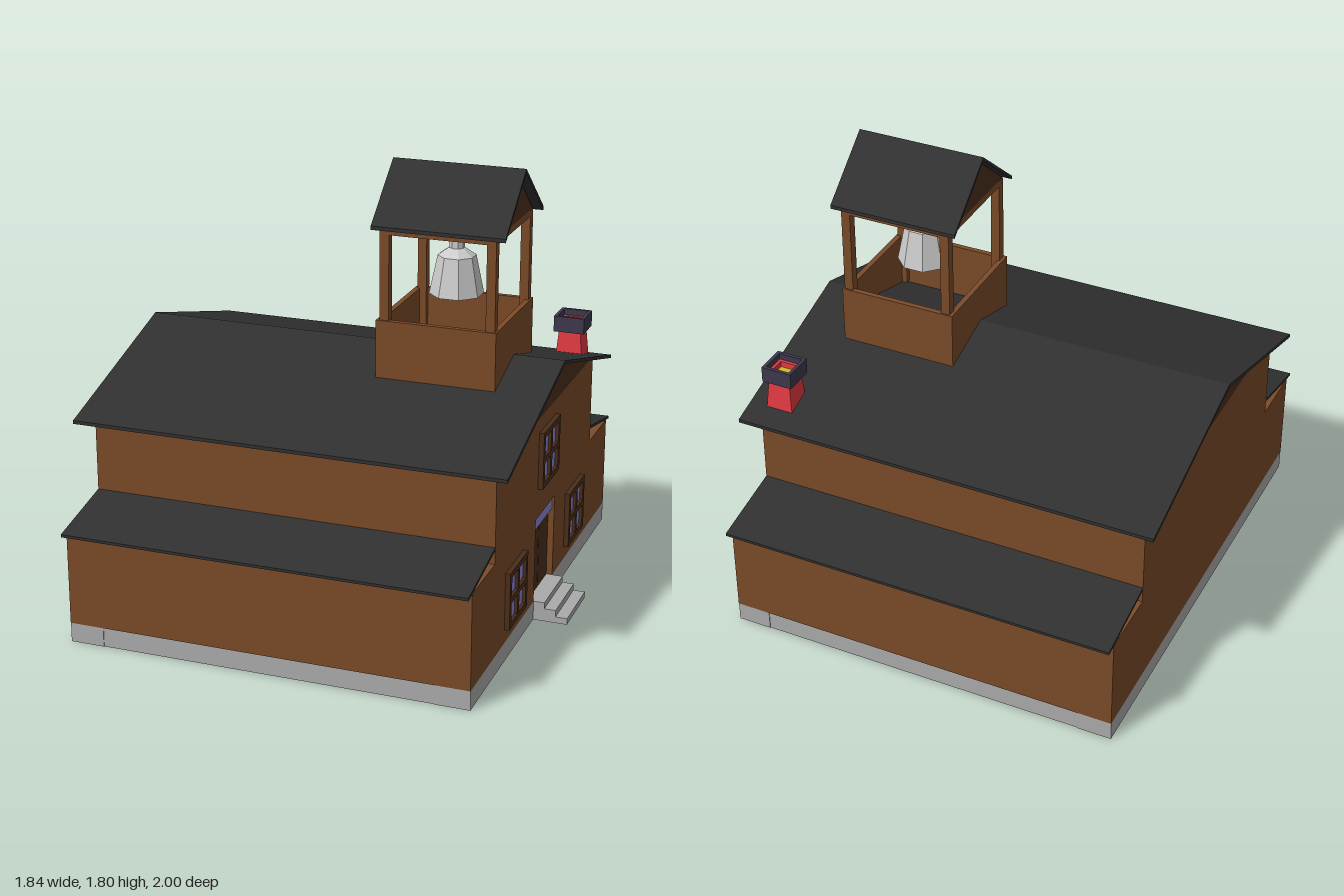
import * as THREE from 'three';

const mat = (color) => new THREE.MeshStandardMaterial({ color, flatShading: true, side: THREE.DoubleSide });

export function createModel() {
  const root = new THREE.Group();
  const wood = mat(0x7a4b29), dark = mat(0x4a2d1a), roofing = mat(0x303030), stone = mat(0xaaaaaa);
  const metal = mat(0xcccccc), glass = mat(0x8a86d6), red = mat(0xe03a40), cap = mat(0x3d384c), ember = mat(0xd0b830);

  const add = (geo, material, name, parent = root) => {
    const mesh = new THREE.Mesh(geo, material);
    mesh.name = name;
    parent.add(mesh);
    return mesh;
  };
  // Box given by its extents
  const box = (x0, x1, y0, y1, z0, z1, material, name, parent) => {
    const g = new THREE.BoxGeometry(x1 - x0, y1 - y0, z1 - z0);
    g.translate((x0 + x1) / 2, (y0 + y1) / 2, (z0 + z1) / 2);
    return add(g, material, name, parent);
  };
  // (z, y) outline extruded along x
  const prism = (pts, x0, x1, material, name, parent) => {
    const shape = new THREE.Shape(pts.map(([z, y]) => new THREE.Vector2(z, y)));
    const g = new THREE.ExtrudeGeometry(shape, { depth: x1 - x0, bevelEnabled: false });
    g.rotateY(-Math.PI / 2).translate(x1, 0, 0);
    return add(g, material, name, parent);
  };
  // Thin folded roof
  const gableRoof = (half, eave, ridge, t, x0, x1, name, parent) => prism([
    [-half, eave], [0, ridge], [half, eave], [half, eave - t], [0, ridge - t], [-half, eave - t],
  ], x0, x1, roofing, name, parent);

  const XB = -0.86, XF = 0.775;

  // Stone foundation: open ring with corner blocks
  const foundation = new THREE.Group();
  foundation.name = 'foundation';
  root.add(foundation);
  for (const s of [-1, 1]) {
    const z0 = s < 0 ? -0.95 : 0.88;
    box(XB + 0.14, XF - 0.14, 0, 0.08, z0, z0 + 0.07, stone, 'foundationSide', foundation);
    const x0 = s < 0 ? XB : XF - 0.07;
    box(x0, x0 + 0.07, 0, 0.08, -0.815, 0.815, stone, 'foundationEnd', foundation);
    for (const x of [XB, XF - 0.14]) {
      const zc = s < 0 ? -0.953 : 0.815;
      box(x, x + 0.14, 0, 0.08, zc, zc + 0.138, stone, 'foundationCorner', foundation);
    }
  }

  // Entrance steps
  [[0.82, 0.08], [0.867, 0.054], [0.915, 0.026]].forEach(([x, y], i) =>
    box(i ? [0.82, 0.867][i - 1] : XF, x, 0, y, -0.135, 0.135, stone, 'step'));

  // Body, with a front wall notched for the door
  const upper = [[0.955, 0.08], [0.955, 0.47], [0.68, 0.47], [0.68, 0.85]];
  const left = upper.map(([z, y]) => [-z, y]).reverse();
  prism([...upper, ...left], XB, XF - 0.04, wood, 'body');
  prism([...upper, ...left, [-0.135, 0.08], [-0.135, 0.43], [0.135, 0.43], [0.135, 0.08]], XF - 0.04, XF, wood, 'frontWall');
  prism([[-0.68, 0.85], [0.68, 0.85], [0, 1.043]], XB, XF, dark, 'gable');

  // Double door and transom
  for (const s of [-1, 1]) box(XF - 0.04, XF - 0.025, 0.08, 0.372, Math.min(s * 0.002, s * 0.135), Math.max(s * 0.002, s * 0.135), dark, 'doorLeaf');
  box(XF - 0.04, XF - 0.01, 0.372, 0.43, -0.135, 0.135, glass, 'transom');

  // Roofs
  gableRoof(0.75, 0.842, 1.058, 0.014, -0.92, 0.837, 'mainRoof');
  for (const s of [-1, 1]) {
    prism([[0.68, 0.538], [1, 0.472], [1, 0.461], [0.68, 0.526]].map(([z, y]) => [s * z, y]), XB, XF, roofing, 'sideRoof');
  }

  // Windows: frame, crossbars and panes
  for (const [y, z] of [[0.672, 0], [0.255, 0.42], [0.255, -0.42]]) {
    const w = new THREE.Group();
    w.name = 'window';
    w.position.set(XF, y, z);
    root.add(w);
    const h = 0.118, b = 0.024, d = 0.02;
    for (const s of [-1, 1]) {
      const m = s * (h - b / 2);
      box(0, d, m - b / 2, m + b / 2, -h, h, dark, 'windowRail', w);
      box(0, d, -h + b, h - b, m - b / 2, m + b / 2, dark, 'windowStile', w);
    }
    box(0, d, -0.012, 0.012, -h + b, h - b, dark, 'crossbar', w);
    box(0, d - 0.001, -h + b, h - b, -0.012, 0.012, dark, 'mullion', w);
    box(0, 0.007, -h + b, h - b, -h + b, h - b, glass, 'panes', w);
  }

  // Bell tower: open box, posts, beams and roof
  const tower = new THREE.Group();
  tower.name = 'bellTower';
  root.add(tower);
  const x0 = 0.145, x1 = 0.63, zt = 0.25, t = 0.022;
  for (const s of [-1, 1]) {
    const z = s < 0 ? -zt : zt - t;
    box(x0, x1, 0.95, 1.22, z, z + t, wood, 'towerSide', tower);
    const x = s < 0 ? x0 : x1 - t;
    box(x, x + t, 0.95, 1.22, -zt + t, zt - t, wood, 'towerEnd', tower);
    const zp = s < 0 ? -0.243 : 0.206;
    for (const px of [0.158, 0.586]) box(px, px + 0.037, 1.0, 1.585, zp, zp + 0.037, wood, 'towerPost', tower);
    box(0.195, 0.586, 1.562, 1.585, zp, zp + 0.037, wood, 'towerBeam', tower);
    const xg = s < 0 ? 0.158 : 0.586;
    box(xg, xg + 0.037, 1.562, 1.59, -0.206, 0.206, wood, 'towerBeam', tower);
    prism([[-0.235, 1.59], [0.235, 1.59], [0, 1.788]], xg + (s < 0 ? 0 : 0.017), xg + (s < 0 ? 0.02 : 0.037), dark, 'towerGable', tower);
  }
  box(0.195, 0.586, 1.562, 1.585, -0.025, 0.025, wood, 'bellBeam', tower);
  gableRoof(0.255, 1.595, 1.805, 0.015, 0.125, 0.662, 'towerRoof', tower);

  // Bell, faceted and open below
  const profile = [[0.108, 1.285], [0.08, 1.42], [0.076, 1.44], [0.035, 1.468], [0.03, 1.47], [0.03, 1.57]];
  const bell = new THREE.LatheGeometry(profile.map(([r, y]) => new THREE.Vector2(r, y)), 8, Math.PI / 8);
  add(bell, metal, 'bell', tower).position.x = 0.39;

  // Chimney: tapered stack, hollow cap, lining and glowing top
  const chimney = new THREE.Group();
  chimney.name = 'chimney';
  chimney.position.set(0.705, 0, -0.6);
  root.add(chimney);
  const stack = new THREE.CylinderGeometry(0.045 * Math.SQRT2, 0.058 * Math.SQRT2, 0.15, 4).rotateY(Math.PI / 4);
  stack.translate(0, 0.925, 0);
  add(stack, red, 'chimneyStack', chimney);
  const squareRing = (outer, inner, y0, y1, material, name) => {
    for (const s of [-1, 1]) {
      const a = Math.min(s * outer, s * inner), b = Math.max(s * outer, s * inner);
      box(-outer, outer, y0, y1, a, b, material, name, chimney);
      box(a, b, y0, y1, -inner, inner, material, name, chimney);
    }
  };
  squareRing(0.064, 0.05, 0.99, 1.056, cap, 'chimneyCap');
  squareRing(0.05, 0.037, 0.99, 1.03, red, 'chimneyLining');
  box(-0.037, 0.037, 0.99, 1.005, -0.037, 0.037, ember, 'chimneyFlue', chimney);

  return root;
}
